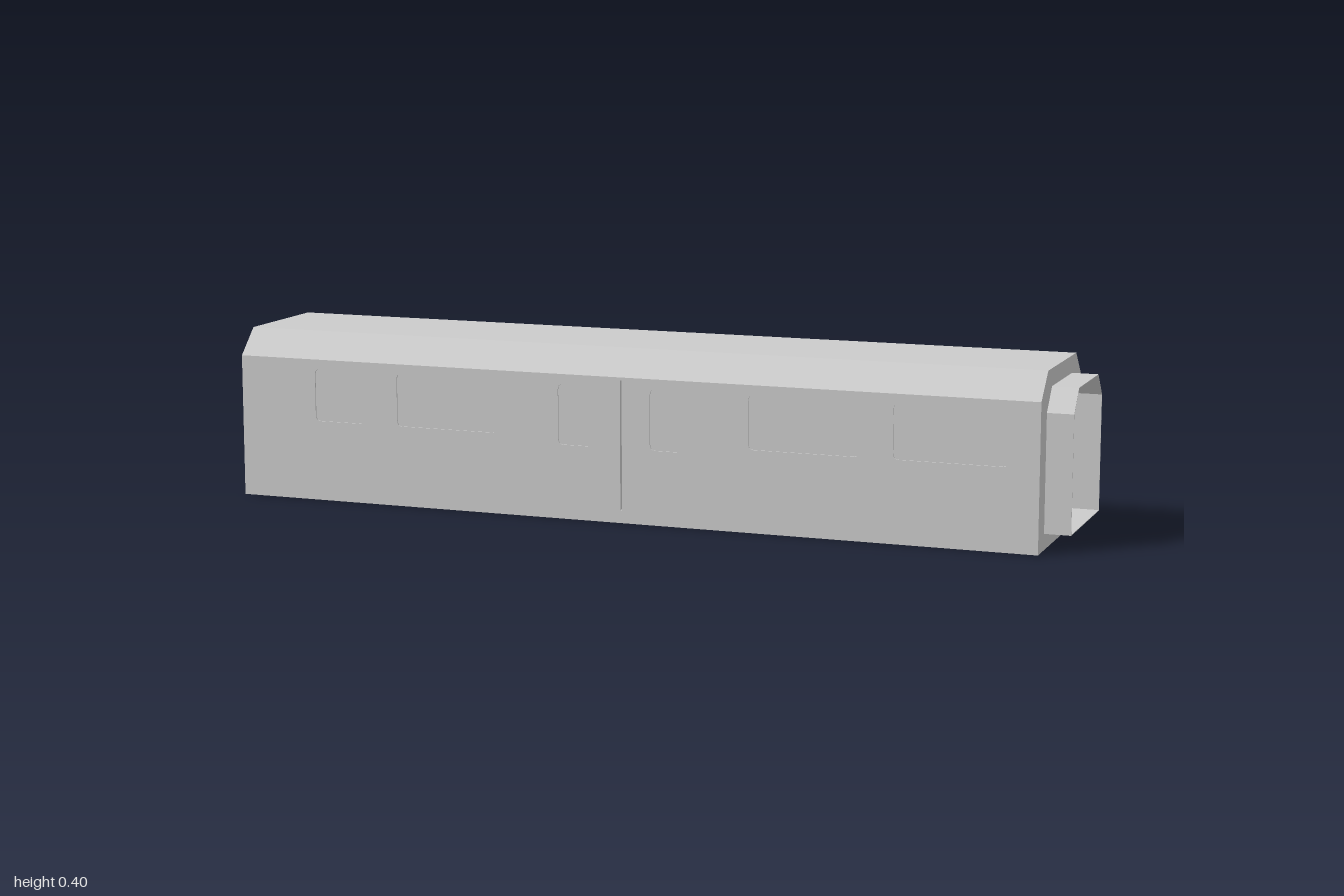
import * as THREE from 'three';

const X0 = -1, X1 = 0.94, MID = -0.03, T = 0.01;
const material = new THREE.MeshStandardMaterial({ color: 0xcccccc, flatShading: true, side: THREE.DoubleSide });

function add(parent, name, geometry, x = 0, y = 0, z = 0) {
  const mesh = new THREE.Mesh(geometry, material);
  mesh.name = name;
  mesh.position.set(x, y, z);
  parent.add(mesh);
  return mesh;
}

// Box given by its limits
function box(parent, name, x0, x1, y0, y1, z0, z1) {
  return add(parent, name, new THREE.BoxGeometry(x1 - x0, y1 - y0, z1 - z0),
    (x0 + x1) / 2, (y0 + y1) / 2, (z0 + z1) / 2);
}

const polygon = (pts, Type = THREE.Shape) => new Type(pts.map(([a, b]) => new THREE.Vector2(a, b)));

function roundedRect(x0, x1, y0, y1, r, Type = THREE.Path) {
  const p = new Type();
  p.moveTo(x0 + r, y0);
  p.lineTo(x1 - r, y0).quadraticCurveTo(x1, y0, x1, y0 + r);
  p.lineTo(x1, y1 - r).quadraticCurveTo(x1, y1, x1 - r, y1);
  p.lineTo(x0 + r, y1).quadraticCurveTo(x0, y1, x0, y1 - r);
  p.lineTo(x0, y0 + r).quadraticCurveTo(x0, y0, x0 + r, y0);
  return p;
}

const extrude = (shape, depth) =>
  new THREE.ExtrudeGeometry(shape, { depth, bevelEnabled: false, curveSegments: 4 });

// Cross-section swept along the length of the car
const sweep = (shape, x0, x1) => extrude(shape, x1 - x0).rotateY(Math.PI / 2).translate(x0, 0, 0);

// Symmetric section with chamfered top corners: half width, floor, shoulder, roof half width, roof
const section = (w, y0, ys, wr, yr) =>
  [[-w, y0], [w, y0], [w, ys], [wr, yr], [-wr, yr], [-w, ys]];

export function createModel() {
  const car = new THREE.Group();
  car.name = 'railCar';

  const outer = section(0.2, 0, 0.337, 0.14, 0.397);
  const portal = section(0.145, 0.037, 0.305, 0.1, 0.357);

  // Window openings: x limits, y limits
  const windows = [
    [-0.806, -0.675, 0.19, 0.315],
    [-0.593, -0.332, 0.19, 0.315],
    [0.275, 0.536, 0.19, 0.315],
    [0.611, 0.873, 0.19, 0.315],
    [MID - 0.155, MID - 0.07, 0.173, 0.315],
    [MID + 0.07, MID + 0.155, 0.173, 0.315],
  ];

  // Side walls with recessed panes
  for (const side of [1, -1]) {
    const group = new THREE.Group();
    group.name = side > 0 ? 'frontSide' : 'backSide';
    const wall = polygon([[X0, 0], [X1, 0], [X1, 0.337], [X0, 0.337]]);
    for (const w of windows) wall.holes.push(roundedRect(...w, 0.014));
    // Seam between the door leaves
    if (side > 0) {
      wall.holes.push(polygon([[MID - 0.002, 0.03], [MID + 0.002, 0.03],
        [MID + 0.002, 0.33], [MID - 0.002, 0.33]], THREE.Path));
    }
    add(group, 'sideWall', extrude(wall, T), 0, 0, side > 0 ? 0.19 : -0.2);
    for (const w of windows) {
      add(group, 'windowPane', extrude(roundedRect(...w, 0.014, THREE.Shape), 0.004),
        0, 0, side * 0.195 - 0.002);
    }
    // Benches either side of the doors
    for (const [a, b] of [[-0.944, -0.31], [0.25, 0.884]]) {
      const zs = (p, q) => (side > 0 ? [p, q] : [-q, -p]);
      box(group, 'benchSeat', a, b, 0.083, 0.13, ...zs(0.107, 0.19));
      box(group, 'benchBack', a, b, 0.13, 0.175, ...zs(0.16, 0.19));
    }
    car.add(group);
  }

  // Chamfered roof shell
  add(car, 'roof', sweep(polygon([
    [0.2, 0.337], [0.14, 0.397], [-0.14, 0.397], [-0.2, 0.337],
    [-0.19, 0.333], [-0.136, 0.387], [0.136, 0.387], [0.19, 0.333],
  ]), X0, X1));

  // Floor slab
  box(car, 'floor', X0, X1, 0, 0.03, -0.19, 0.19);

  // Closed end wall, and open end wall with the gangway portal
  add(car, 'closedEndWall', sweep(polygon(outer), X0, X0 + T));
  const openEnd = polygon(outer);
  openEnd.holes.push(polygon(portal, THREE.Path));
  add(car, 'openEndWall', sweep(openEnd, X1 - T, X1));

  // Thin gangway sleeve
  const sleeve = polygon(portal);
  sleeve.holes.push(polygon(section(0.1435, 0.0385, 0.3045, 0.0995, 0.3555), THREE.Path));
  add(car, 'gangway', sweep(sleeve, X1 - T, 1));

  return car;
}
